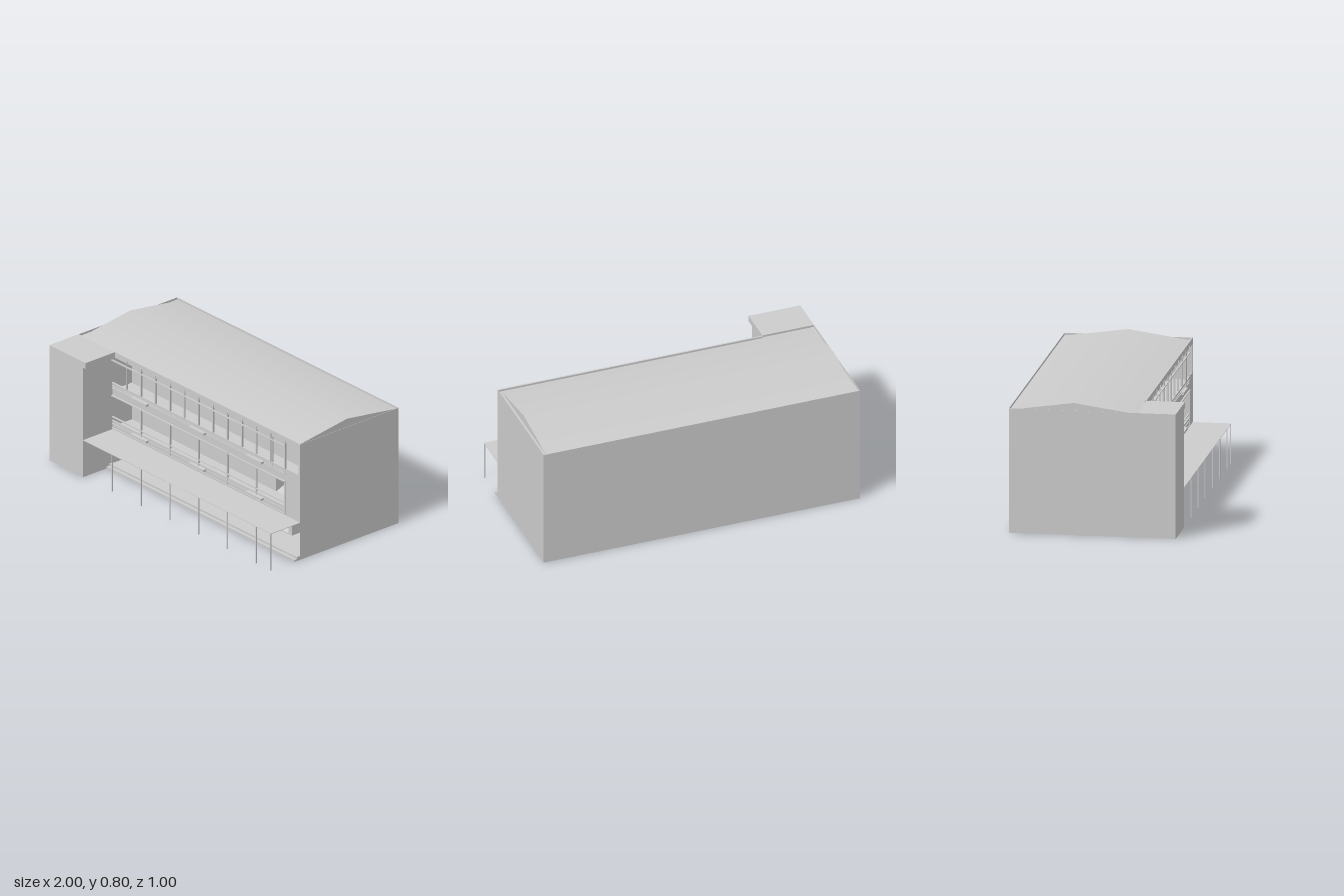
import * as THREE from 'three';

const mat = new THREE.MeshStandardMaterial({ color: 0xcccccc, side: THREE.DoubleSide });

export function createModel() {
  const root = new THREE.Group();
  root.name = 'schoolBuilding';

  const add = (name, geo) => {
    const m = new THREE.Mesh(geo, mat);
    m.name = name;
    root.add(m);
    return m;
  };
  // Box given by its minimum and maximum on each axis
  const box = (name, x0, x1, y0, y1, z0, z1) => {
    const m = add(name, new THREE.BoxGeometry(x1 - x0, y1 - y0, z1 - z0));
    m.position.set((x0 + x1) / 2, (y0 + y1) / 2, (z0 + z1) / 2);
    return m;
  };

  const T = 0.002, TOP = 0.755, FRONT = 0.27, BACK = -0.5;
  const WING = -0.695, CAP = -0.673, CORRIDOR = 0.118, STAIR = 0.608, PIER = 0.868;

  // Outer shell
  box('backWall', -1, 1, 0, TOP, BACK, BACK + T);
  box('leftWall', 1 - T, 1, 0, TOP, BACK, FRONT);
  box('rightWall', -1, -1 + T, 0, TOP, BACK, 0.5);

  // Projecting wing with its overhanging flat cap
  box('wingFront', -1, WING, 0, 0.717, 0.5 - T, 0.5);
  box('wingSide', WING - T, WING, 0, 0.717, CORRIDOR, 0.5);
  box('wingCap', -1, CAP, 0.717, TOP, FRONT, 0.5);

  // Low gable roof, smooth across the ridge
  const roof = new THREE.PlaneGeometry(1.96, 0.77, 1, 2).rotateX(-Math.PI / 2);
  const p = roof.attributes.position;
  for (let i = 0; i < p.count; i++) {
    const side = Math.round(p.getZ(i) / 0.385);
    p.setY(i, side ? 0.742 : 0.797);
    roof.attributes.normal.setXYZ(i, 0, 0.99, side * 0.141);
  }
  add('gableRoof', roof).position.z = -0.115;
  const gable = new THREE.Shape([
    new THREE.Vector2(-0.385, 0.742), new THREE.Vector2(0.385, 0.742), new THREE.Vector2(0, 0.797)]);
  for (const s of [-1, 1]) {
    const g = add('gableEnd', new THREE.ShapeGeometry(gable));
    g.rotation.y = s * Math.PI / 2;
    g.position.set(s * 0.98, 0, -0.115);
    box('roofGutter', s > 0 ? 0.98 : -1, s > 0 ? 1 : -0.98, 0.735, 0.742, BACK, FRONT);
  }

  // Corridor back wall, stairwell walls
  box('corridorWall', -1, STAIR, 0, 0.74, CORRIDOR - T, CORRIDOR);
  box('upperCorridorWall', STAIR, PIER, 0.5, 0.74, CORRIDOR - T, CORRIDOR);
  box('stairwellWall', STAIR - T, STAIR, 0, 0.74, BACK, CORRIDOR);
  box('pierPartition', PIER, PIER + T, 0, 0.74, BACK, CORRIDOR);

  // Floors: ground slab is L-shaped, upper floors follow the corridor
  box('groundFloor', -1 + T, 1 - T, 0.002, 0.02, CORRIDOR, FRONT);
  box('stairwellFloor', 0.635, 0.9, 0.002, 0.02, BACK + T, CORRIDOR);
  for (const y of [0.245, 0.485]) box('corridorFloor', WING, 1 - T, y, y + 0.015, CORRIDOR, FRONT);
  box('corridorCeiling', WING, 1 - T, 0.725, 0.735, CORRIDOR, FRONT);

  // Entrance steps along the front
  box('lowerStep', WING, 1, 0, 0.012, FRONT - 0.005, 0.315);
  box('upperStep', WING, 1, 0.012, 0.025, FRONT - 0.005, 0.295);

  // Solid facade bands between storeys
  const band = (name, y0, y1, x0 = WING, x1 = 1) => box(name, x0, x1, y0, y1, FRONT - 0.01, FRONT);
  band('groundBeam', 0.235, 0.298);
  band('middleBand', 0.47, 0.548);
  band('topBand', 0.718, 0.742);
  band('topFascia', 0.742, TOP, CAP);
  band('pierWall', 0.298, 0.47, PIER, 1);
  band('pierEdge', 0.548, 0.718, 0.985, 1);

  // Horizontal rails and thin trims
  for (const y of [0.25, 0.278, 0.298, 0.323, 0.512, 0.525, 0.545])
    box('rail', WING, 0.865, y, y + 0.006, FRONT - 0.004, FRONT + 0.005);
  for (const y of [0.463, 0.695])
    box('headTrim', WING, 0.865, y, y + 0.006, FRONT, FRONT + 0.01);

  // Mullions of both upper storeys
  const mullion = (x, y0, y1) => box('mullion', x - 0.004, x + 0.004, y0, y1, FRONT - 0.006, FRONT + 0.005);
  for (let i = 0; i < 12; i++) {
    const x = -0.565 + 0.13 * i;
    mullion(x, 0.548, 0.735);
    if (i % 2) mullion(x, 0.258, 0.47);
  }
  mullion(0.75, 0.512, 0.718);

  // Flower ledges below the openings
  for (const x of [-0.435, 0.085, 0.605])
    for (const y of [0.275, 0.514]) box('flowerLedge', x - 0.07, x + 0.07, y, y + 0.014, FRONT, 0.295);

  // Canopy on slim posts
  box('canopy', WING, 1, 0.24, 0.243, FRONT, 0.5);
  for (const x of [-0.435, -0.175, 0.085, 0.345, 0.605, 0.865, 0.996])
    box('canopyPost', x - 0.003, x + 0.003, 0, 0.24, 0.494, 0.5);

  // Two half-turn stairs: one flight up to the back, one returning to the front
  const flight = (x0, x1, y0, y1, z0, z1) => {
    const m = add('stairFlight', new THREE.BoxGeometry(x1 - x0, 0.008, Math.hypot(z1 - z0, y1 - y0)));
    m.position.set((x0 + x1) / 2, (y0 + y1) / 2, (z0 + z1) / 2);
    m.rotation.x = -Math.atan2(y1 - y0, z1 - z0);
  };
  for (const y of [0.02, 0.255]) {
    flight(STAIR, 0.72, y, y + 0.12, CORRIDOR, -0.2);
    flight(0.75, PIER, y + 0.12, y + 0.22, -0.2, CORRIDOR);
    box('stairLanding', STAIR, PIER, y + 0.112, y + 0.12, -0.35, -0.2);
    box('stairDivider', 0.72, 0.75, y, y + 0.165, -0.2, CORRIDOR);
  }
  return root;
}
